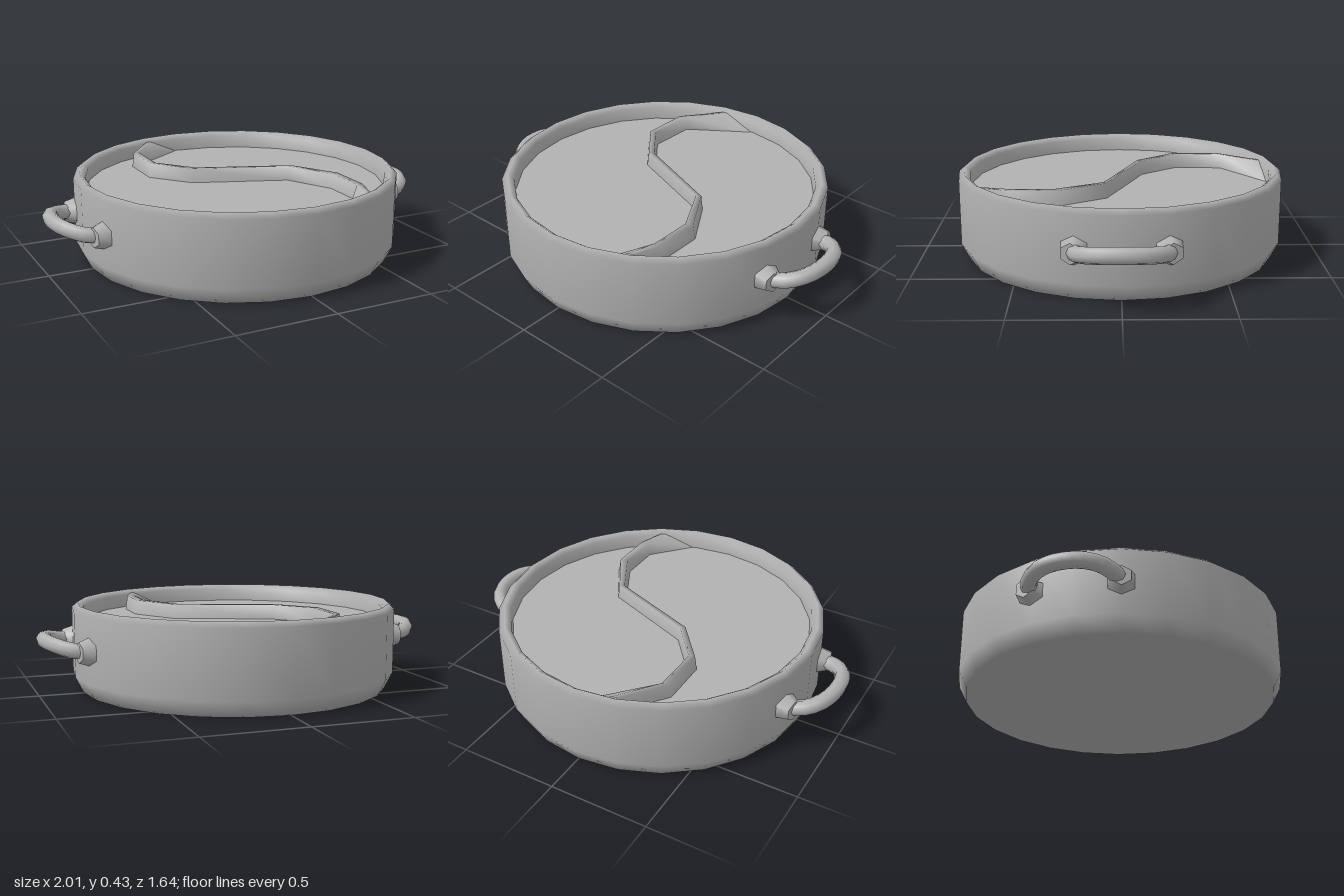
import * as THREE from 'three';

const steel = new THREE.MeshStandardMaterial({ color: 0xb2b2b2 });
steel.name = 'brushed grey';

function part(name, geometry, parent) {
  const mesh = new THREE.Mesh(geometry, steel);
  mesh.name = name;
  parent.add(mesh);
  return mesh;
}

// S-shaped ridge: each station has a left foot, left top, right top and right foot
function dividerGeometry() {
  const floorY = 0.335, topY = 0.412;
  const stations = [
    // left x, left z, right x, right z, top inset from left, top inset from right
    [-0.20, -0.735, 0.00, -0.758, 0.02, 0.85],
    [-0.36, -0.53, -0.305, -0.545, 0.2, 0.2],
    [-0.36, -0.285, -0.31, -0.30, 0.2, 0.2],
    [-0.20, -0.09, -0.165, -0.12, 0.2, 0.2],
    [0.26, 0.085, 0.30, 0.065, 0.2, 0.2],
    [0.38, 0.315, 0.44, 0.295, 0.2, 0.2],
    [0.38, 0.53, 0.44, 0.52, 0.2, 0.2],
    [0.20, 0.735, 0.385, 0.655, 0.85, 0.02],
  ];
  const positions = [], index = [];
  stations.forEach(([lx, lz, rx, rz, a, b], i) => {
    const put = (t, y) => positions.push(lx + (rx - lx) * t, y, lz + (rz - lz) * t);
    put(0, floorY);
    put(a, topY);
    put(1 - b, topY);
    put(1, floorY);
    if (i === stations.length - 1) return;
    for (let j = 0; j < 3; j++) {
      const p = i * 4 + j, q = p + 4;
      index.push(p, q, p + 1, q, q + 1, p + 1);
    }
  });
  const g = new THREE.BufferGeometry();
  g.setAttribute('position', new THREE.Float32BufferAttribute(positions, 3));
  g.setIndex(index);
  g.computeVertexNormals();
  return g;
}

// Side handle with a bowed grip and two six-sided mounts
function makeHandle(name) {
  const handle = new THREE.Group();
  handle.name = name;
  const path = new THREE.CatmullRomCurve3([
    [0.79, 0.24, 0.215], [0.865, 0.247, 0.195], [0.925, 0.262, 0.145],
    [0.96, 0.272, 0.06], [0.96, 0.272, -0.06],
    [0.925, 0.262, -0.145], [0.865, 0.247, -0.195], [0.79, 0.24, -0.215],
  ].map((p) => new THREE.Vector3(...p)));
  part('grip', new THREE.TubeGeometry(path, 14, 0.038, 8), handle);
  for (const side of [1, -1]) {
    const g = new THREE.CylinderGeometry(0.05, 0.078, 0.08, 6);
    g.rotateY(Math.PI / 2);
    g.rotateZ(-Math.PI / 2); // axis now points outward along x
    g.rotateY(-side * 0.26);
    const mount = part('handleMount', g, handle);
    mount.position.set(0.803, 0.24, side * 0.215);
  }
  return handle;
}

export function createModel() {
  const pot = new THREE.Group();
  pot.name = 'dividedPot';

  // Outer wall, rolled rim and inner wall
  const profile = [
    [0, 0], [0.78, 0], [0.82, 0.08], [0.82, 0.405], [0.79, 0.43], [0.76, 0.405], [0.755, 0.335],
  ].map(([r, y]) => new THREE.Vector2(r, y));
  part('potBody', new THREE.LatheGeometry(profile, 24), pot);

  // Flat inner surface
  const floor = new THREE.CircleGeometry(0.757, 24);
  floor.rotateX(-Math.PI / 2);
  part('innerFloor', floor, pot).position.y = 0.34;

  part('divider', dividerGeometry(), pot);

  const left = makeHandle('leftHandle');
  const right = makeHandle('rightHandle');
  right.rotation.y = Math.PI;
  pot.add(left, right);
  return pot;
}
